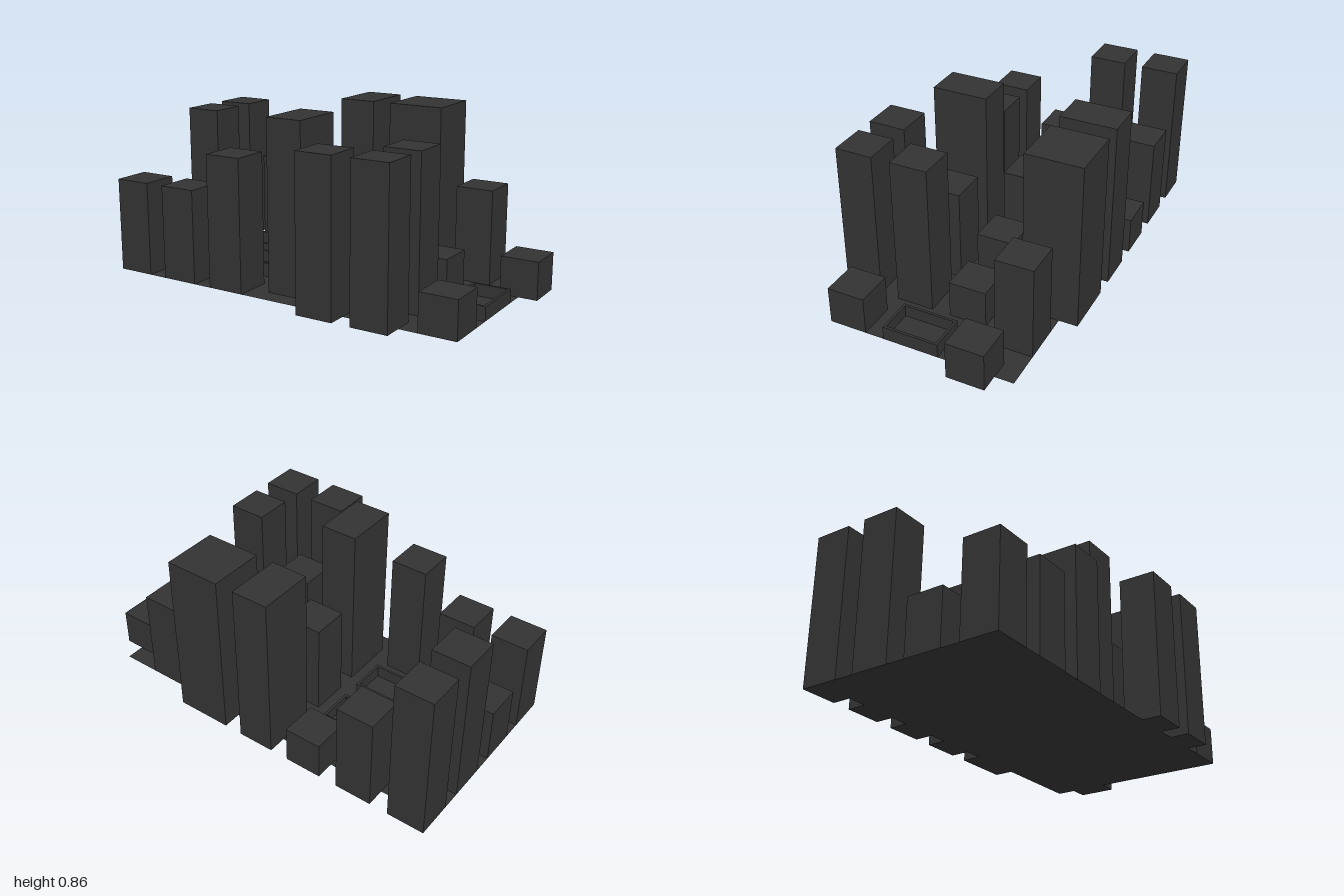
import * as THREE from 'three';

// City blocks sit on a square grid, 21 cells across the longest side
const U = 2 / 21;
const gx = (c) => -1 + c * U;

export function createModel() {
  const city = new THREE.Group();
  city.name = 'cityBlock';
  const concrete = new THREE.MeshStandardMaterial({ color: 0x333333 });
  concrete.name = 'darkConcrete';
  const paving = new THREE.MeshStandardMaterial({ color: 0x333333, side: THREE.DoubleSide });
  paving.name = 'darkPaving';

  function add(geometry, material, name, x, y, z) {
    const mesh = new THREE.Mesh(geometry, material);
    mesh.name = name;
    mesh.position.set(x, y, z);
    city.add(mesh);
    return mesh;
  }

  // Ground sheet
  add(new THREE.PlaneGeometry(20 * U, 10 * U).rotateX(-Math.PI / 2), paving, 'ground', gx(10), 0, 0);

  // Buildings: column, row (from the centre line), width, depth, height, in cells
  const buildings = [
    // back row
    [0, -6, 2, 2, 8], [3, -6, 2, 2, 5], [6, -6, 2, 2, 2], [9, -6, 2, 3, 9],
    [12, -6, 3, 3, 9], [16, -5, 2, 2, 5], [19, -4, 2, 2, 2],
    // middle rows
    [0, -3, 2, 2, 8], [9, -2, 2, 2, 5], [12, -2, 2, 2, 3], [15, -2, 2, 2, 2],
    [0, 0, 2, 2, 3], [9, 1, 2, 3, 9], [12, 1, 2, 2, 5], [15, 1, 2, 2, 8],
    // front row
    [0, 3, 2, 2, 5], [3, 3, 2, 2, 5], [6, 3, 2, 2, 7],
    [12, 4, 2, 2, 8], [15, 4, 2, 2, 8], [18, 3, 2, 2, 2],
  ];
  for (const [c, r, w, d, h] of buildings) {
    add(new THREE.BoxGeometry(w * U, h * U, d * U), concrete, 'building',
      gx(c + w / 2), h * U / 2, (r + d / 2) * U);
  }

  // Low walled courts: an extruded rim around a sunken floor
  const wall = 0.013, rimHeight = 0.07;
  const rect = (Type, w, d) => new Type([
    new THREE.Vector2(-w / 2, -d / 2), new THREE.Vector2(w / 2, -d / 2),
    new THREE.Vector2(w / 2, d / 2), new THREE.Vector2(-w / 2, d / 2),
  ]);
  for (const [c, r, cw, cd] of [[3, -3, 5, 2], [3, 0, 5, 2], [18, -1, 2, 3]]) {
    const w = cw * U, d = cd * U, x = gx(c + cw / 2), z = (r + cd / 2) * U;
    const outline = rect(THREE.Shape, w, d);
    outline.holes.push(rect(THREE.Path, w - 2 * wall, d - 2 * wall));
    const rim = new THREE.ExtrudeGeometry(outline, { depth: rimHeight, bevelEnabled: false });
    add(rim.rotateX(-Math.PI / 2), concrete, 'courtWall', x, 0, z);
    add(new THREE.BoxGeometry(w - 2 * wall, 0.01, d - 2 * wall), concrete, 'courtFloor', x, 0.005, z);
  }
  return city;
}
